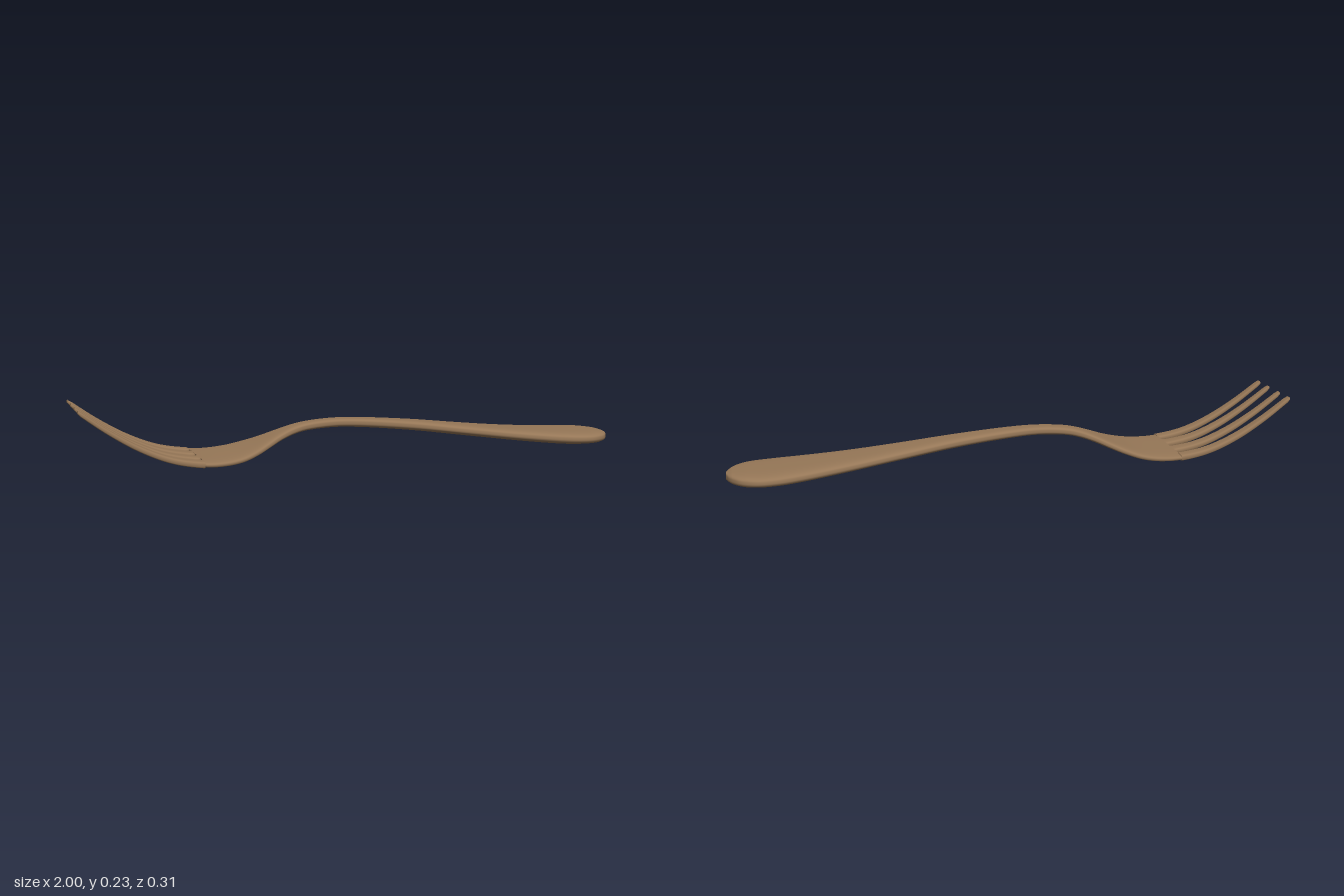
import * as THREE from 'three';

// Side profile and outline: x, centre height, half width
const SPINE = [
  [-1, 0.233, 0.148], [-0.9, 0.16, 0.152], [-0.8, 0.1, 0.155], [-0.7, 0.058, 0.156], [-0.6, 0.038, 0.156],
  [-0.53, 0.035, 0.152], [-0.46, 0.042, 0.14], [-0.4, 0.058, 0.114], [-0.35, 0.076, 0.083],
  [-0.3, 0.096, 0.056], [-0.25, 0.113, 0.04], [-0.2, 0.124, 0.034], [-0.1, 0.131, 0.033],
  [0, 0.127, 0.037], [0.2, 0.107, 0.05], [0.4, 0.08, 0.073], [0.6, 0.054, 0.101],
  [0.76, 0.037, 0.125], [0.84, 0.031, 0.132], [0.9, 0.029, 0.127], [0.95, 0.029, 0.103],
  [0.975, 0.029, 0.075], [0.99, 0.029, 0.048], [1, 0.029, 0.014],
];
// x, thickness, roundness exponent of the underside
const BODY = [
  [-1, 0.013, 4], [-0.8, 0.018, 4], [-0.5, 0.025, 4], [-0.3, 0.027, 3], [-0.1, 0.03, 2.6],
  [0.2, 0.036, 2.4], [0.5, 0.041, 2.4], [0.8, 0.05, 2.4], [0.93, 0.048, 2.4], [0.98, 0.038, 2.4], [1, 0.024, 2.4],
];

const curve = new THREE.CatmullRomCurve3(SPINE.map((p) => new THREE.Vector3(...p)));
const SMOOTH = curve.getPoints(230).map((p) => p.toArray());

function lookup(table, x, col) {
  let i = 0;
  while (i < table.length - 2 && table[i + 1][0] < x) i++;
  const [a, b] = [table[i], table[i + 1]];
  const t = THREE.MathUtils.clamp((x - a[0]) / (b[0] - a[0]), 0, 1);
  return THREE.MathUtils.lerp(a[col], b[col], t);
}

// Lofts rounded cross-sections along the spine; stations are { x, z0, z1, scale }
function loft(stations, sides) {
  const pos = [];
  const index = [];
  for (const { x, z0, z1, scale = 1 } of stations) {
    const y = lookup(SMOOTH, x, 1);
    const slope = (lookup(SMOOTH, x + 0.01, 1) - lookup(SMOOTH, x - 0.01, 1)) / 0.02;
    const len = Math.hypot(1, slope);
    const half = (lookup(BODY, x, 1) * scale) / 2;
    const under = lookup(BODY, x, 2);
    for (let j = 0; j < sides; j++) {
      const a = (j / sides) * Math.PI * 2;
      const c = Math.cos(a);
      const s = Math.sin(a);
      const e = 2 / (s < 0 ? under : 3.4);
      const w = Math.sign(c) * Math.abs(c) ** e;
      const n = Math.sign(s) * Math.abs(s) ** e * half;
      const px = THREE.MathUtils.clamp(x - (n * slope) / len, -1, 1);
      pos.push(px, y + n / len, (z0 + z1) / 2 + (w * (z1 - z0)) / 2);
    }
  }
  const rings = stations.length;
  for (let i = 0; i < rings - 1; i++) {
    for (let j = 0; j < sides; j++) {
      const k = (j + 1) % sides;
      const [a, b, c, d] = [i * sides + j, (i + 1) * sides + j, i * sides + k, (i + 1) * sides + k];
      index.push(a, b, c, b, d, c);
    }
  }
  // end caps with their own vertices, so their rims stay sharp
  for (const [ring, flip] of [[0, false], [rings - 1, true]]) {
    const base = pos.length / 3;
    pos.push(...pos.slice(ring * sides * 3, (ring + 1) * sides * 3));
    for (let j = 1; j < sides - 1; j++) {
      index.push(base, base + (flip ? j + 1 : j), base + (flip ? j : j + 1));
    }
  }
  const geo = new THREE.BufferGeometry();
  geo.setAttribute('position', new THREE.Float32BufferAttribute(pos, 3));
  geo.setIndex(index);
  geo.computeVertexNormals();
  return geo;
}

export function createModel() {
  const group = new THREE.Group();
  const metal = new THREE.MeshStandardMaterial({ color: 0x967757 });
  metal.name = 'bronze metal';

  const add = (name, geo) => {
    const mesh = new THREE.Mesh(geo, metal);
    mesh.name = name;
    group.add(mesh);
  };
  const ROOT = -0.592;
  const SPLIT = -0.22;
  const outline = (list) => list.map(([x, , w]) => ({ x, z0: -w, z1: w }));
  const at = (x) => [x, 0, lookup(SMOOTH, x, 2)];

  // Head, neck and handle as one continuous body
  const body = SMOOTH.filter((p) => p[0] > ROOT + 0.002);
  add('headNeckAndHandle', loft(outline([at(ROOT), at(SPLIT), ...body].sort((a, b) => a[0] - b[0])
    .filter((p, i, l) => i === 0 || p[0] - l[i - 1][0] > 1e-5)), 40));

  // Tines: inner and outer edge at root and tip; slots end in a half circle
  const R = 0.016;
  const tines = [
    { name: 'innerTine', root: [0.016, 0.073], tip: [0.034, 0.061], open: [0, 0.089] },
    { name: 'outerTine', root: [0.105, 0.156], tip: [0.117, 0.148], open: [0.089, 0.156] },
  ];
  for (const { name, root, tip, open } of tines) {
    const stations = [];
    for (let i = 0; i <= 40; i++) {
      // finer steps around the rounded slot end
      const x = i <= 8 ? ROOT - (i / 8) ** 2 * R : ROOT - R - ((i - 8) / 32) * (1 + ROOT - R);
      const d = (ROOT - x) / R;
      const round = d < 1 ? Math.sqrt(1 - (1 - d) ** 2) : 1;
      const t = Math.max(0, (ROOT - x) / (1 + ROOT));
      const edge = (k) => THREE.MathUtils.lerp(open[k], THREE.MathUtils.lerp(root[k], tip[k], t), round);
      const outer = name === 'outerTine' ? lookup(SMOOTH, x, 2) : edge(1);
      stations.push({ x, z0: edge(0), z1: outer });
    }
    // slightly softened tip
    const last = stations[40];
    stations[40] = { x: last.x, z0: last.z0 + 0.002, z1: last.z1 - 0.002, scale: 0.8 };
    stations.reverse();
    add(name + 'Left', loft(stations, 20));
    add(name + 'Right', loft(stations.map((s) => ({ ...s, z0: -s.z1, z1: -s.z0 })), 20));
  }

  // Rest the lowest point on the ground
  const box = new THREE.Box3().setFromObject(group);
  group.children.forEach((m) => { m.position.y = -box.min.y; });
  return group;
}
